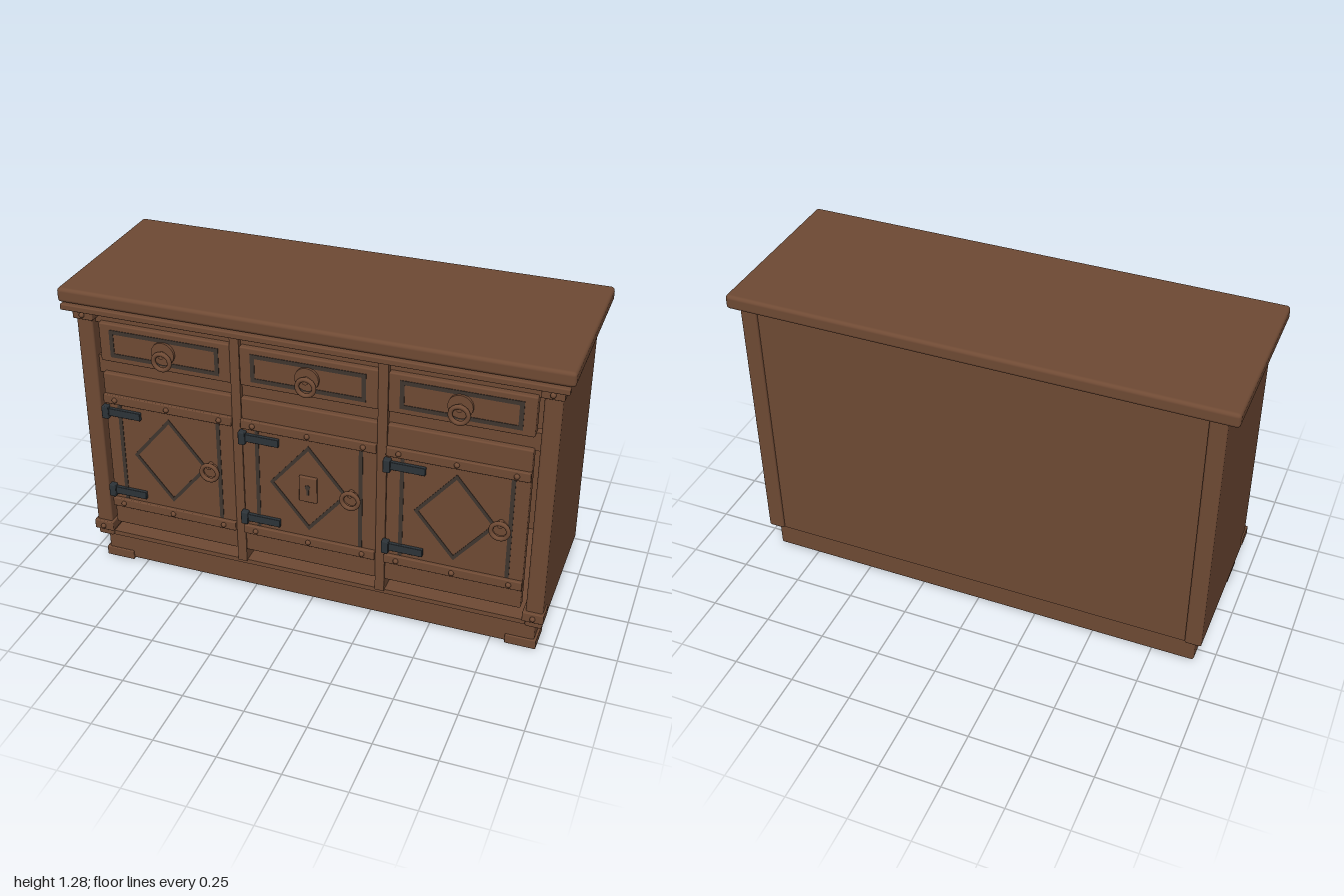
import * as THREE from 'three';
import { RoundedBoxGeometry } from 'three/addons/geometries/RoundedBoxGeometry.js';

export function createModel() {
  const model = new THREE.Group();
  model.name = 'sideboard';
  const mat = (name, color) => {
    const m = new THREE.MeshStandardMaterial({ color });
    m.name = name;
    return m;
  };
  const wood = mat('brown wood', 0x6f4a34);
  const inlay = mat('dark inlay', 0x40362f);
  const iron = mat('dark iron', 0x2c3338);

  const add = (parent, name, geometry, material, x = 0, y = 0, z = 0) => {
    const mesh = new THREE.Mesh(geometry, material);
    mesh.name = name;
    mesh.position.set(x, y, z);
    parent.add(mesh);
    return mesh;
  };
  // Box given by its limits, softened when r > 0
  const box = (parent, name, x0, x1, y0, y1, z0, z1, r = 0, material = wood) => {
    const s = [x1 - x0, y1 - y0, z1 - z0];
    const g = r ? new RoundedBoxGeometry(...s, 2, r) : new THREE.BoxGeometry(...s);
    return add(parent, name, g, material, (x0 + x1) / 2, (y0 + y1) / 2, (z0 + z1) / 2);
  };
  // Disc facing the front
  const disc = (parent, name, x, y, z0, z1, r, seg = 24) => {
    const g = new THREE.CylinderGeometry(r, r, z1 - z0, seg).rotateX(Math.PI / 2);
    return add(parent, name, g, wood, x, y, (z0 + z1) / 2);
  };
  const rivet = (parent, x, y, z) => add(parent, 'rivet',
    new THREE.SphereGeometry(0.011, 12, 8).scale(1, 1, 0.9), wood, x, y, z);
  const ring = (parent, x, y, z) => add(parent, 'ringPull',
    new THREE.TorusGeometry(0.034, 0.009, 10, 32), wood, x, y, z);
  // Flat closed outline with an inner hole, used for inlays
  const frame = (parent, name, outer, inner, y, z) => {
    const shape = new THREE.Shape(outer.map(p => new THREE.Vector2(...p)));
    shape.holes.push(new THREE.Path(inner.map(p => new THREE.Vector2(...p))));
    const g = new THREE.ExtrudeGeometry(shape, { depth: 0.004, bevelEnabled: false });
    return add(parent, name, g, inlay, 0, y, z);
  };
  const rect = (w, h) => [[-w, -h], [w, -h], [w, h], [-w, h]];
  const diamond = (w, h) => [[0, -h], [w, 0], [0, h], [-w, 0]];

  // Top and carcass
  box(model, 'top', -1, 1, 1.22, 1.28, -0.375, 0.365, 0.015);
  box(model, 'topMoulding', -0.985, 0.985, 1.195, 1.22, 0.345, 0.375, 0.005);
  box(model, 'plinth', -0.925, 0.925, 0.005, 0.12, -0.32, 0.285, 0.01);
  box(model, 'bottomBoard', -0.9, 0.9, 0.12, 0.14, -0.33, 0.3);
  box(model, 'backPanel', -0.9, 0.9, 0.12, 1.22, -0.338, -0.31);
  box(model, 'upperBoard', -0.9, 0.9, 1.195, 1.22, -0.33, 0.3);
  box(model, 'topRail', -0.9, 0.9, 1.12, 1.2, 0.25, 0.285);
  box(model, 'middleRail', -0.9, 0.9, 0.9, 0.975, 0.25, 0.285);

  for (const s of [-1, 1]) {
    const side = new THREE.Group();
    side.name = s > 0 ? 'leftSide' : 'rightSide';
    model.add(side);
    const span = (a, b) => s > 0 ? [a, b] : [-b, -a];
    box(side, 'sidePanel', ...span(0.887, 0.955), 0.12, 1.22, -0.35, 0.312, 0.009);
    box(side, 'foot', ...span(0.81, 0.935), 0, 0.042, 0.165, 0.292, 0.004);
    for (const y of [0.175, 1.162]) {
      box(side, 'cornerBracket', ...span(0.877, 0.962), y - 0.021, y + 0.021, 0.245, 0.326, 0.004);
      rivet(side, s * 0.92, y, 0.33);
    }
    box(side, 'divider', s * 0.295 - 0.019, s * 0.295 + 0.019, 0.135, 1.195, -0.31, 0.306);
  }

  // Three bays, each with a drawer above a door
  for (const cx of [-0.59, 0, 0.59]) {
    const drawer = new THREE.Group();
    drawer.name = 'drawer';
    drawer.position.x = cx;
    model.add(drawer);
    box(drawer, 'drawerFront', -0.275, 0.275, 0.965, 1.13, 0.26, 0.308, 0.006);
    frame(drawer, 'drawerInlay', rect(0.23, 0.059), rect(0.213, 0.042), 1.047, 0.3065);
    disc(drawer, 'pullPlate', 0, 1.045, 0.305, 0.32, 0.048);
    disc(drawer, 'pullStud', 0, 1.045, 0.31, 0.336, 0.014, 16);
    ring(drawer, 0, 1.018, 0.331);

    const door = new THREE.Group();
    door.name = 'door';
    door.position.x = cx;
    model.add(door);
    box(door, 'doorPanel', -0.275, 0.275, 0.197, 0.91, 0.265, 0.308, 0.006);
    frame(door, 'diamondInlay', diamond(0.162, 0.195), diamond(0.144, 0.173), 0.555, 0.3065);
    for (const x of [-0.213, 0.213])
      box(door, 'edgeInlay', x - 0.008, x + 0.008, 0.33, 0.78, 0.304, 0.3105, 0, inlay);
    for (const y of [0.8, 0.308]) {
      box(door, 'crossStrap', -0.276, 0.276, y - 0.02, y + 0.02, 0.3, 0.322, 0.004);
      for (const x of [-0.225, 0, 0.225]) rivet(door, x, y, 0.324);
    }
    for (const y of [0.74, 0.367]) {
      box(door, 'hingeStrap', -0.275, -0.12, y - 0.017, y + 0.017, 0.303, 0.322, 0.003, iron);
      box(door, 'hingeKnuckle', -0.284, -0.256, y - 0.028, y + 0.028, 0.303, 0.332, 0.004, iron);
    }
    disc(door, 'pullPlate', 0.178, 0.555, 0.305, 0.32, 0.03);
    disc(door, 'pullStud', 0.178, 0.58, 0.31, 0.336, 0.012, 16);
    ring(door, 0.178, 0.553, 0.332);

    // Lock plate on the middle door only
    if (cx === 0) {
      box(door, 'lockPlate', -0.037, 0.037, 0.498, 0.612, 0.303, 0.32, 0.004);
      disc(door, 'keyholeTop', 0, 0.567, 0.318, 0.322, 0.011, 16).material = inlay;
      box(door, 'keyholeSlot', -0.005, 0.005, 0.532, 0.567, 0.318, 0.322, 0, inlay);
    }
  }
  return model;
}
